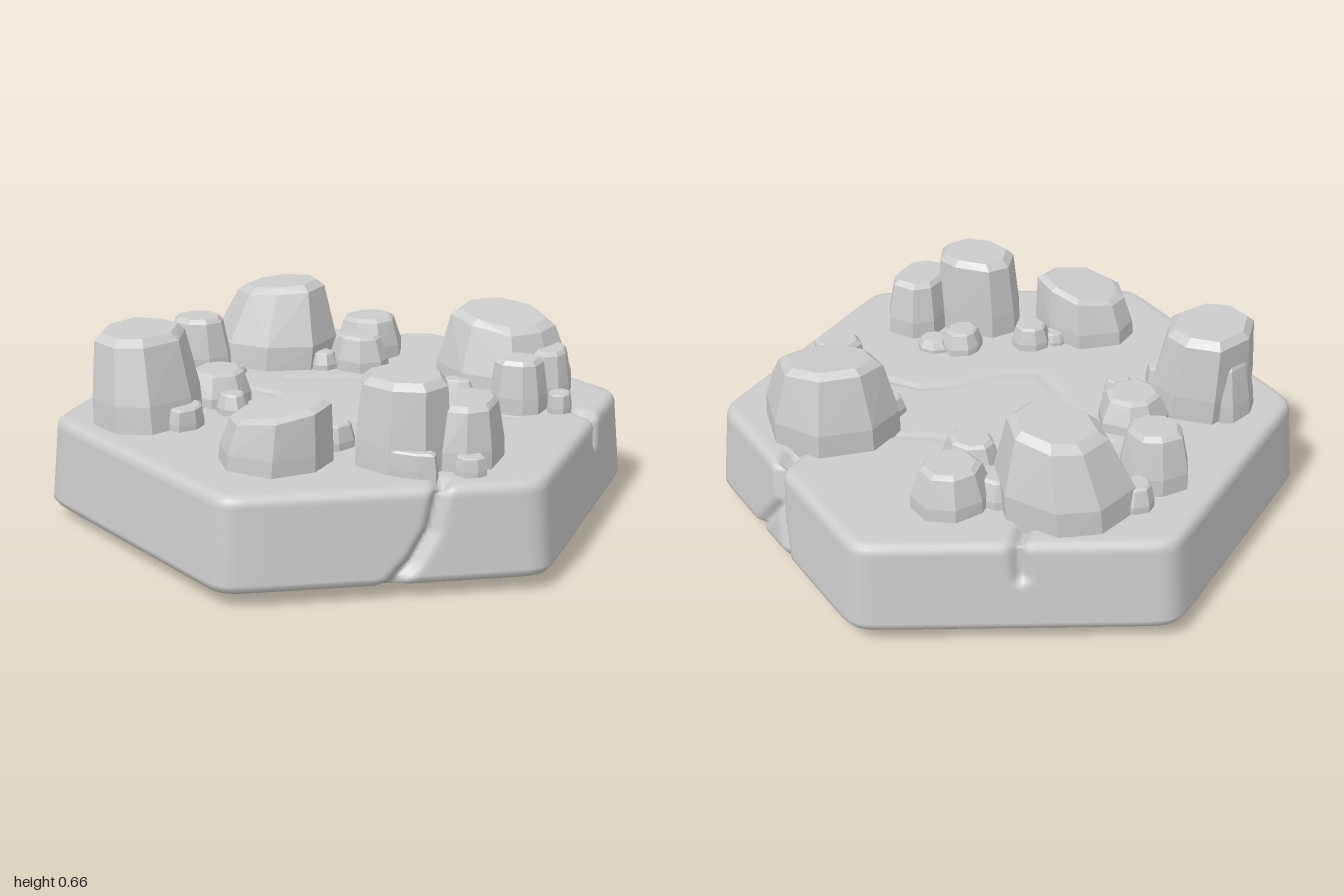
import * as THREE from 'three';
import { ConvexGeometry } from 'three/addons/geometries/ConvexGeometry.js';

const TOP = 0.355;
const material = new THREE.MeshStandardMaterial({ color: 0xcccccc });
const rockMaterial = new THREE.MeshStandardMaterial({ color: 0xcccccc, flatShading: true });

function seeded(seed) {
  let s = seed * 7919 + 17;
  return () => (s = (s * 16807) % 2147483647) / 2147483647;
}

// Cracks: depth, width and a path over the surface of the slab
const v = (x, y, z) => new THREE.Vector3(x, y, z);
const cracks = [
  [0.035, 0.02, [v(0.56, TOP, 0.6), v(0.58, 0.34, 0.66), v(0.56, 0.22, 0.68), v(0.51, 0.12, 0.71), v(0.43, 0.03, 0.75)]],
  [0.04, 0.022, [v(0.46, TOP, -0.62), v(0.46, 0.34, -0.72), v(0.45, 0.23, -0.74)]],
  [0.025, 0.017, [v(0.45, 0.23, -0.74), v(0.6, 0.04, -0.66)]],
  [0.025, 0.017, [v(0.45, 0.23, -0.74), v(0.39, 0.04, -0.78)]],
  [0.03, 0.02, [v(0.78, TOP, -0.21), v(0.85, 0.345, -0.17), v(0.865, 0.28, -0.15)]],
  [0.03, 0.02, [v(-0.4, TOP, -0.62), v(-0.43, 0.34, -0.73), v(-0.45, 0.24, -0.74)]],
  [0.007, 0.014, [v(-0.42, TOP, -0.06), v(-0.25, TOP, -0.02), v(-0.12, TOP, 0.14), v(0, TOP, 0.23),
    v(0.12, TOP, 0.16), v(0.24, TOP, 0), v(0.32, TOP, -0.06), v(0.6, TOP, -0.08)]],
  [0.006, 0.014, [v(-0.3, TOP, -0.2), v(-0.05, TOP, -0.3), v(0.12, TOP, -0.32), v(0.25, TOP, -0.38)]],
];

function crackDepth(p) {
  const near = new THREE.Vector3(), line = new THREE.Line3();
  let deepest = 0;
  for (const [depth, width, path] of cracks) {
    for (let i = 1; i < path.length; i++) {
      line.set(path[i - 1], path[i]).closestPointToPoint(p, true, near);
      const d = near.distanceTo(p) / width;
      if (d < 3) deepest = Math.max(deepest, depth * Math.exp(-d * d));
    }
  }
  return deepest;
}

// Hexagon with softened corners, points towards front and back
function hexRadius(angle) {
  let sum = 0;
  for (let i = 0; i < 6; i++) sum += Math.max(0, Math.cos(angle - i * Math.PI / 3)) ** 40;
  return 1 / sum ** (1 / 40);
}

function slabGeometry() {
  // Rows: [apothem, height, inward share, downward share] of the crack push
  const rows = [[0, 0.045, 0, 0], [0.8, 0.045, 0, 0], [0.835, 0.045, 0.3, 0], [0.865, 0.052, 1, 0]];
  for (let i = 0; i <= 24; i++) rows.push([0.877 - 0.023 * i / 24, 0.068 + 0.26 * i / 24, 1, 0]);
  rows.push([0.849, 0.342, 0.8, 0.4], [0.84, 0.351, 0.6, 0.7]);
  for (let i = 0; i <= 44; i++) rows.push([0.826 * (1 - i / 44), TOP, 0, 1]);

  const n = 420, pos = [], index = [];
  rows.forEach(([a, y, inward, down], j) => {
    for (let i = 0; i < n; i++) {
      const t = i / n * Math.PI * 2, r = a * hexRadius(t);
      const p = v(r * Math.cos(t), y, r * Math.sin(t));
      const d = inward + down > 0 ? crackDepth(p) : 0;
      pos.push(p.x - Math.cos(t) * d * inward, y - d * down, p.z - Math.sin(t) * d * inward);
      if (j === 0) continue;
      const k = (i + 1) % n, low = (j - 1) * n, high = j * n;
      index.push(low + i, high + i, low + k, low + k, high + i, high + k);
    }
  });
  const g = new THREE.BufferGeometry();
  g.setAttribute('position', new THREE.Float32BufferAttribute(pos, 3));
  g.setIndex(index);
  g.computeVertexNormals();
  return g;
}

// Faceted boulder: stacked uneven rings wrapped in a hull.
// taper = size of the top, shift = offset of the top, tilt = slope of the top along x and z
function rockGeometry(seed, rx, rz, h, { taper = 0.68, shift = [0, 0], tilt = [0, 0] } = {}) {
  const rand = seeded(seed), n = 8, turn = rand() * 6.28;
  const wobble = Array.from({ length: n }, () => [rand() * 0.3, 0.92 + rand() * 0.14]);
  const rings = [[-0.03, 1], [h * 0.3, 0.98], [h * 0.68, taper * 0.5 + 0.46], [h * 0.92, taper + 0.06], [h, taper - 0.08]];
  const points = [];
  for (const [y, s] of rings) {
    const up = Math.max(0, y / h);
    for (const [i, [da, dr]] of wobble.entries()) {
      const a = turn + (i + da) / n * Math.PI * 2, r = s * dr * (0.98 + rand() * 0.04);
      const x = Math.cos(a) * r * rx + shift[0] * up, z = Math.sin(a) * r * rz + shift[1] * up;
      points.push(v(x, y + up * up * (tilt[0] * x + tilt[1] * z), z));
    }
  }
  return new ConvexGeometry(points);
}

// Each rock: [x, z, half width, half depth, height, options]
const clusters = {
  backLeftRocks: [
    [-0.44, -0.44, 0.235, 0.215, 0.285, { taper: 0.64, shift: [0.03, -0.02], tilt: [0.1, 0] }],
    [-0.13, -0.62, 0.13, 0.13, 0.145, { taper: 0.7 }],
    [-0.1, -0.43, 0.105, 0.095, 0.125, { taper: 0.68 }],
    [-0.22, -0.38, 0.055, 0.055, 0.06],
    [-0.25, -0.53, 0.09, 0.08, 0.09],
    [-0.635, -0.2, 0.12, 0.115, 0.2, { taper: 0.7 }],
    [-0.65, -0.35, 0.06, 0.07, 0.08],
    [-0.49, -0.19, 0.04, 0.06, 0.025],
  ],
  backRightRocks: [
    [0.46, -0.41, 0.235, 0.205, 0.26, { taper: 0.7, shift: [-0.01, -0.01], tilt: [-0.12, -0.1] }],
    [0.64, -0.36, 0.08, 0.12, 0.17],
    [0.58, -0.17, 0.1, 0.09, 0.18, { taper: 0.74 }],
    [0.715, -0.2, 0.045, 0.055, 0.065, { taper: 0.8 }],
    [0.34, -0.24, 0.07, 0.05, 0.06],
  ],
  frontLeftRocks: [
    [-0.55, 0.37, 0.17, 0.215, 0.3, { taper: 0.76, shift: [-0.035, -0.02] }],
    [-0.42, 0.1, 0.12, 0.125, 0.11, { taper: 0.7 }],
    [-0.31, 0.225, 0.06, 0.055, 0.07],
    [-0.4, 0.4, 0.06, 0.09, 0.07, { taper: 0.8 }],
    [-0.7, 0.33, 0.055, 0.11, 0.2, { taper: 0.75, shift: [0.02, 0] }],
  ],
  frontRocks: [
    [0.005, 0.61, 0.19, 0.165, 0.175, { taper: 0.8, shift: [0.02, 0], tilt: [0.18, -0.05] }],
    [0.135, 0.41, 0.07, 0.075, 0.08, { taper: 0.72 }],
    [0.07, 0.46, 0.05, 0.04, 0.04],
  ],
  frontRightRocks: [
    [0.39, 0.475, 0.165, 0.135, 0.285, { taper: 0.82, shift: [0.005, -0.01] }],
    [0.57, 0.37, 0.115, 0.155, 0.2, { taper: 0.76 }],
    [0.34, 0.27, 0.075, 0.085, 0.075],
    [0.43, 0.22, 0.065, 0.06, 0.04],
    [0.62, 0.5, 0.055, 0.05, 0.06, { taper: 0.8 }],
    [0.45, 0.58, 0.1, 0.04, 0.08, { taper: 0.85 }],
  ],
};

export function createModel() {
  const model = new THREE.Group();

  const slab = new THREE.Mesh(slabGeometry(), material);
  slab.name = 'hexagonalSlab';
  model.add(slab);

  // Low twelve-sided foot with a chamfered lower rim
  const foot = new THREE.Group();
  foot.name = 'foot';
  const rim = new THREE.Mesh(new THREE.CylinderGeometry(0.76, 0.76, 0.042, 12), rockMaterial);
  rim.name = 'footRim';
  rim.position.y = 0.029;
  const chamfer = new THREE.Mesh(new THREE.CylinderGeometry(0.76, 0.75, 0.008, 12), rockMaterial);
  chamfer.name = 'footChamfer';
  chamfer.position.y = 0.004;
  foot.add(rim, chamfer);
  foot.rotation.y = 0;
  foot.scale.z = 0.925;
  foot.position.z = -0.015;
  model.add(foot);

  // Clusters of boulders on the slab
  let seed = 1;
  for (const [name, rocks] of Object.entries(clusters)) {
    const group = new THREE.Group();
    group.name = name;
    rocks.forEach(([x, z, rx, rz, h, options], i) => {
      const rock = new THREE.Mesh(rockGeometry(seed++, rx, rz, h, options), rockMaterial);
      rock.name = i === 0 ? 'largeRock' : 'smallRock' + i;
      rock.position.set(x, TOP, z);
      group.add(rock);
    });
    model.add(group);
  }
  return model;
}
